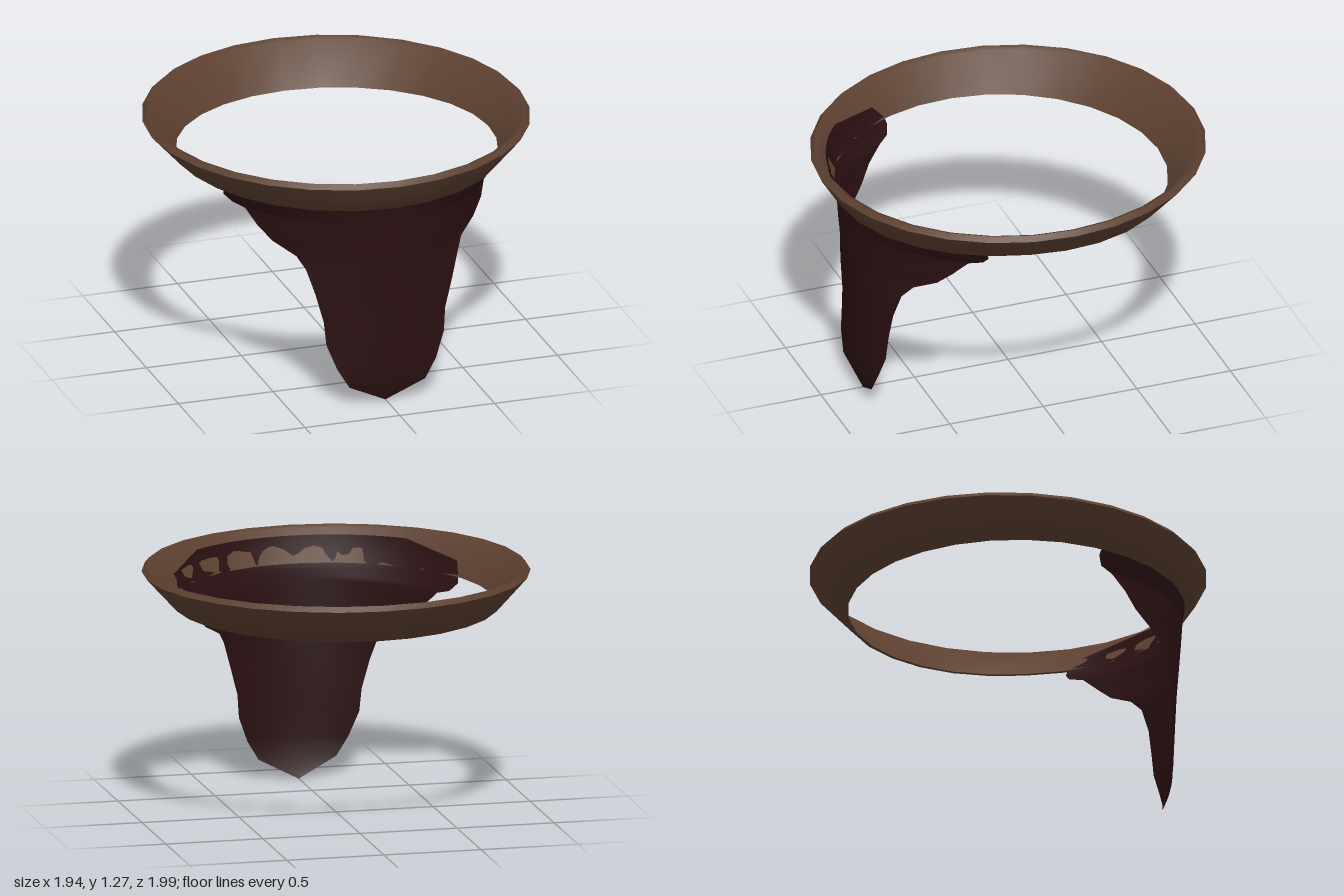
import * as THREE from 'three';
import { toCreasedNormals } from 'three/addons/utils/BufferGeometryUtils.js';

// Surface through a grid of points; either direction may close on itself.
function gridSurface(nu, nv, point, closed) {
  const pos = [], index = [];
  for (let i = 0; i < nu; i++) for (let j = 0; j < nv; j++) pos.push(...point(i, j));
  const iu = closed ? nu : nu - 1, jv = closed ? nv : nv - 1;
  for (let i = 0; i < iu; i++) for (let j = 0; j < jv; j++) {
    const i2 = (i + 1) % nu, j2 = (j + 1) % nv;
    const a = i * nv + j, b = i2 * nv + j, c = i2 * nv + j2, d = i * nv + j2;
    index.push(a, b, c, a, c, d);
  }
  const g = new THREE.BufferGeometry();
  g.setAttribute('position', new THREE.Float32BufferAttribute(pos, 3));
  g.setIndex(index);
  g.computeVertexNormals();
  return g;
}

export function createModel() {
  const leather = new THREE.MeshStandardMaterial({ color: 0x5c4030 });
  leather.name = 'brown leather';
  const fabric = new THREE.MeshStandardMaterial({ color: 0x2a1012, side: THREE.DoubleSide });
  fabric.name = 'dark red cloth';

  const group = new THREE.Group();
  group.name = 'beltWithCloth';

  // Flaring belt: a thin slanted section swept round, steeper at the front
  const segments = 28;
  const beltGeometry = gridSurface(segments, 5, (i, j) => {
    const t = (i / segments) * Math.PI * 2, c = Math.cos(t), s = Math.sin(t);
    const rb = 0.81 + 0.08 * Math.max(0, c) ** 2;
    const rt = 0.972 + 0.024 * c * c;
    const yb = c > 0.3 ? 1.08 : 1.08 - 0.025 * (0.3 - c) / 1.3;
    const yt = 1.265 - 0.007 * c;
    const [r, y] = [
      [rb - 0.008, yb],
      [rb + 0.01, yb],
      [rt, yt - 0.025],
      [rt - 0.022, yt],
      [rt - 0.05, yt - 0.012],
    ][j];
    return [r * s, y, r * c];
  }, true);
  const belt = new THREE.Mesh(toCreasedNormals(beltGeometry, 1.2), leather);
  belt.name = 'belt';
  group.add(belt);

  // Hanging cloth: rows of [height, half width, z at centre, z at side edge]
  const rows = [
    [0, 0.001, 0.775, 0.775],
    [0.1, 0.2, 0.815, 0.805],
    [0.2, 0.26, 0.825, 0.795],
    [0.33, 0.31, 0.832, 0.77],
    [0.45, 0.32, 0.838, 0.76],
    [0.6, 0.36, 0.845, 0.75],
    [0.73, 0.4, 0.855, 0.72],
    [0.79, 0.435, 0.86, 0.67],
    [0.85, 0.53, 0.865, 0.58],
    [0.92, 0.59, 0.87, 0.52],
    [0.99, 0.63, 0.875, 0.45],
    [1.01, 0.68, 0.877, 0.39],
    [1.05, 0.72, 0.88, 0.375],
    [1.09, 0.725, 0.888, 0.39],
    [1.15, 0.735, 0.906, 0.45],
    [1.215, 0.54, 0.918, 0.72],
  ];
  const columns = 17;
  const clothGeometry = gridSurface(columns, rows.length, (i, j) => {
    const [y, w, zc, ze] = rows[j];
    const u = (i / (columns - 1)) * 2 - 1;
    const a = Math.asin(w / 0.83), ca = Math.cos(a);
    const bend = (Math.cos(a * u) - ca) / (1 - ca);
    return [w * Math.sin(a * u) / Math.sin(a), y, ze + (zc - ze) * bend];
  }, false);
  const cloth = new THREE.Mesh(clothGeometry, fabric);
  cloth.name = 'frontCloth';
  group.add(cloth);

  return group;
}
